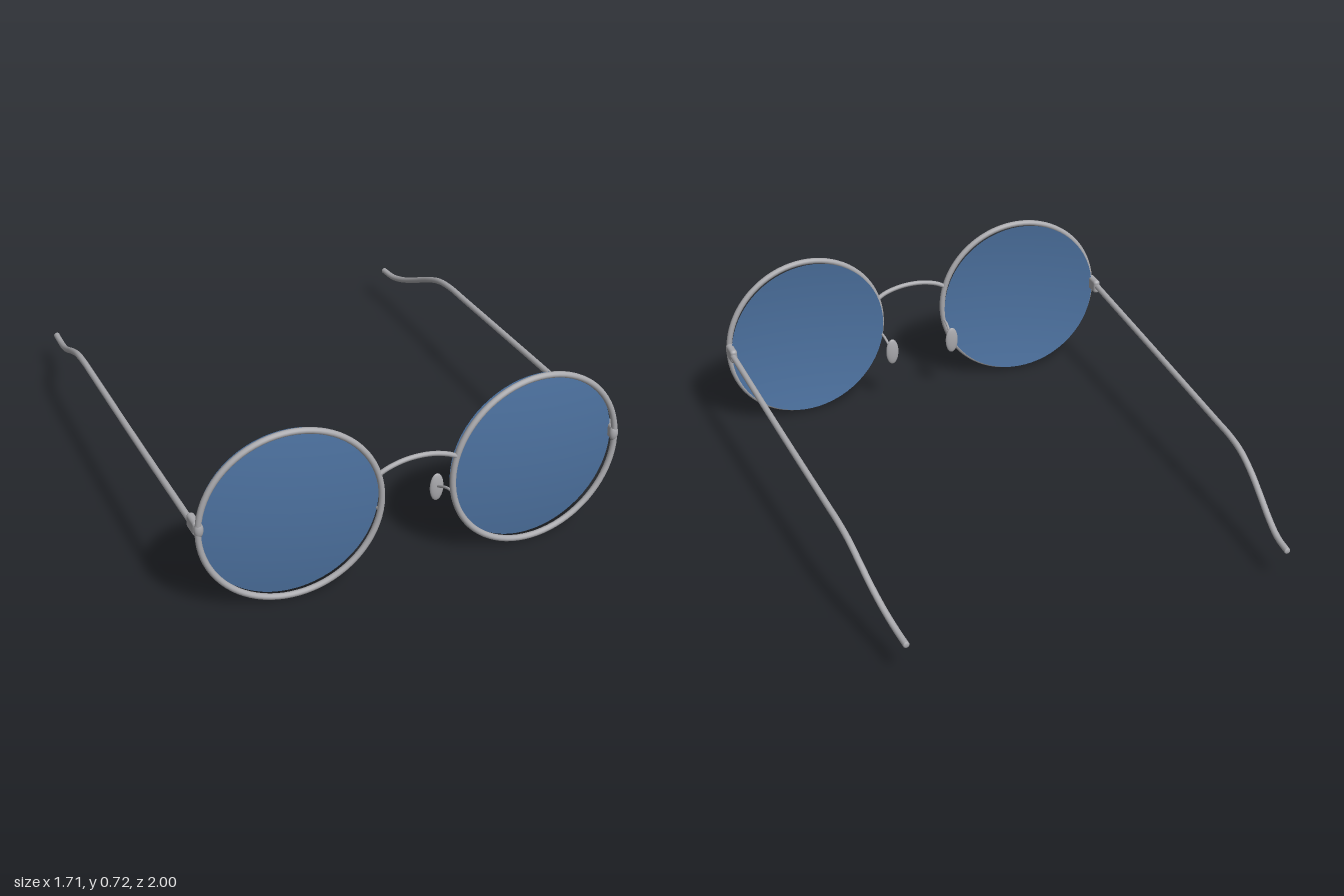
import * as THREE from 'three';
import { RoundedBoxGeometry } from 'three/addons/geometries/RoundedBoxGeometry.js';

const metal = new THREE.MeshStandardMaterial({ color: 0xa9a9ad });
metal.name = 'silver metal';
const tint = new THREE.MeshStandardMaterial({ color: 0x4c719f, side: THREE.DoubleSide });
tint.name = 'blue lens';

function add(parent, name, geometry, material, x = 0, y = 0, z = 0) {
  const mesh = new THREE.Mesh(geometry, material);
  mesh.name = name;
  mesh.position.set(x, y, z);
  parent.add(mesh);
  return mesh;
}

// Smooth wire through a few points, with rounded ends
function wire(parent, name, points, radius, segments = 24) {
  const pts = points.map(p => new THREE.Vector3(...p));
  const group = new THREE.Group();
  group.name = name;
  const curve = new THREE.CatmullRomCurve3(pts, false, 'centripetal');
  add(group, name + 'Wire', new THREE.TubeGeometry(curve, segments, radius, 12), metal);
  for (const p of [pts[0], pts[pts.length - 1]]) {
    const cap = add(group, name + 'End', new THREE.SphereGeometry(radius, 12, 8), metal, p.x, p.y, p.z);
    cap.scale.z = 0.4;
  }
  parent.add(group);
}

// Shallow dome bulging towards +z, with its edge on z = 0
function domeGeometry(radius, height) {
  const profile = [];
  for (let i = 0; i <= 12; i++) {
    const t = 1 - i / 12;
    profile.push(new THREE.Vector2(radius * t, height * (1 - t * t)));
  }
  return new THREE.LatheGeometry(profile, 64).rotateX(Math.PI / 2);
}

export function createModel() {
  const model = new THREE.Group();
  model.name = 'roundGlasses';

  for (const s of [1, -1]) {
    const side = new THREE.Group();
    side.name = s > 0 ? 'leftSide' : 'rightSide';
    model.add(side);

    // Rim and lens, wrapped slightly back towards the temple
    const eye = new THREE.Group();
    eye.name = 'eyepiece';
    eye.position.set(s * 0.49, 0.365, 0.968);
    eye.rotation.y = s * 0.052;
    side.add(eye);
    add(eye, 'rim', new THREE.TorusGeometry(0.348, 0.012, 12, 80), metal);
    add(eye, 'lens', domeGeometry(0.346, 0.026), tint, 0, 0, -0.028);

    // Hinge block and its rounded front lug
    add(side, 'hinge', new RoundedBoxGeometry(0.03, 0.06, 0.08, 4, 0.013), metal, s * 0.838, 0.38, 0.908);
    const lug = add(side, 'hingeLug', new THREE.SphereGeometry(1, 20, 14), metal, s * 0.834, 0.38, 0.949);
    lug.scale.set(0.018, 0.033, 0.016);

    // Temple arm with a drooping, inward-curving tip
    wire(side, 'temple', [
      [s * 0.841, 0.382, 0.89], [s * 0.834, 0.357, 0.3], [s * 0.824, 0.333, -0.3],
      [s * 0.822, 0.328, -0.42], [s * 0.819, 0.312, -0.52], [s * 0.813, 0.274, -0.62],
      [s * 0.803, 0.225, -0.72], [s * 0.79, 0.18, -0.82], [s * 0.779, 0.153, -0.91],
      [s * 0.774, 0.146, -0.995],
    ], 0.0125, 64);

    // Nose pad on its thin arm
    wire(side, 'padArm', [
      [s * 0.15, 0.305, 0.98], [s * 0.146, 0.298, 0.935], [s * 0.139, 0.268, 0.868],
    ], 0.0055);
    const pad = add(side, 'nosePad', new THREE.SphereGeometry(1, 24, 16), metal, s * 0.138, 0.263, 0.865);
    pad.scale.set(0.028, 0.059, 0.011);
  }

  // Arched bridge
  wire(model, 'bridge', [
    [-0.157, 0.464, 0.986], [-0.12, 0.484, 0.988], [-0.06, 0.501, 0.988], [0, 0.506, 0.988],
    [0.06, 0.501, 0.988], [0.12, 0.484, 0.988], [0.157, 0.464, 0.986],
  ], 0.0095, 32);

  return model;
}
